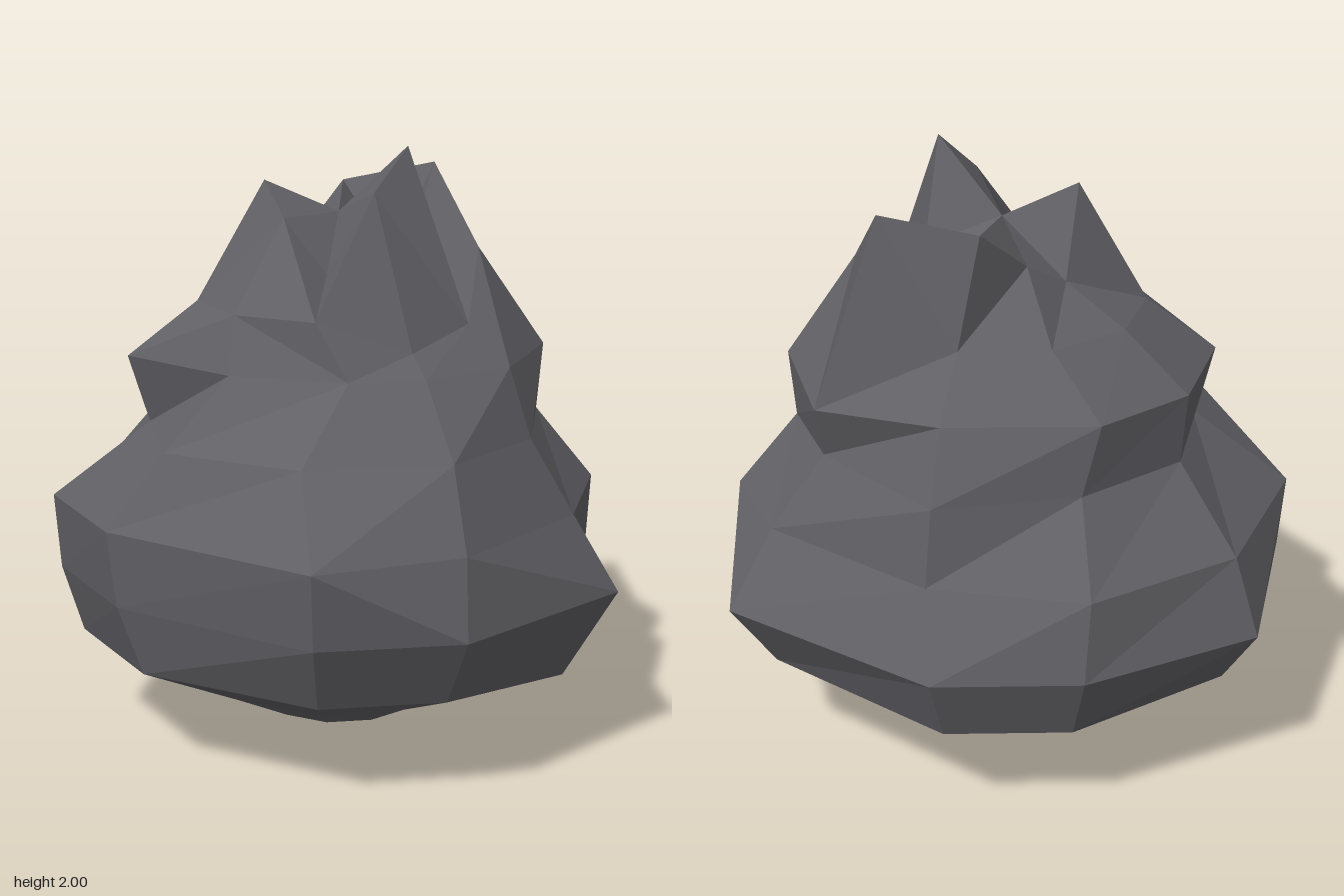
import * as THREE from 'three';

const SIDES = 10, RINGS = 10, R = 0.815;
const CENTRE = { x: 0.035, y: 0.82, z: -0.03 };

// Bulges and grooves: [x, z] around one ring, from +x round by the back
const swollen = {
  3: [[0.9, -0.03], [0.8, -0.42], [0.24, -0.89], [-0.17, -0.89], [-0.68, -0.56],
    [-0.85, -0.04], [-0.68, 0.44], [-0.17, 0.84], [0.24, 0.84], [0.72, 0.44]],
  4: [[0.92, -0.03], [0.94, -0.49], [0.28, -0.98], [-0.2, -0.98], [-0.77, -0.7],
    [-0.92, -0.05], [-0.76, 0.43], [-0.2, 0.95], [0.28, 0.95], [0.88, 0.52]],
  5: [[0.935, -0.03], [0.8, -0.39], [0.29, -0.81], [-0.22, -0.92], [-0.7, -0.63],
    [-0.94, -0.06], [-0.79, 0.42], [-0.21, 0.98], [0.29, 0.87], [0.74, 0.45]],
  6: [[0.73, -0.03], [0.62, -0.36], [0.27, -0.77], [-0.2, -0.69], [-0.53, -0.44],
    [-0.61, -0.03], [-0.6, 0.42], [-0.2, 0.71], [0.28, 0.71], [0.6, 0.41]],
  7: [[0.75, -0.03], [0.64, -0.43], [0.24, -0.66], [-0.26, -0.66], [-0.55, -0.43],
    [-0.68, -0.03], [-0.38, 0.34], [-0.02, 0.51], [0.23, 0.51], [0.54, 0.35]],
};

// Single points pulled out, keyed by 'ring,side'
const peaks = {
  '3,9': [0.72, 0.26, 0.44],
  '7,1': [0.64, 1.26, -0.43],
  '8,0': [0.515, 1.64, -0.03],
  '8,1': [0.43, 1.89, -0.37],
  '8,8': [0.2, 1.37, 0.43],
  '8,9': [0.42, 1.43, 0.26],
  '9,0': [0.287, 1.67, -0.03],
  '9,2': [0.11, 1.83, -0.4],
  '9,3': [-0.04, 1.68, -0.27],
  '9,5': [-0.215, 1.88, -0.03],
  '9,6': [-0.17, 1.77, 0.12],
  '9,8': [0.113, 1.86, 0.21],
  '9,9': [0.24, 2.0, 0.12],
};

// Facets whose crease runs the other way, as 'ring,side'
const flipped = new Set(['3,0', '4,0', '4,7', '4,8', '4,9', '5,0',
  '7,0', '7,6', '8,0', '8,4', '8,6', '8,8']);

function point(ring, side) {
  const j = side % SIDES;
  if (ring === 0) return [CENTRE.x, 0, CENTRE.z];
  if (ring === RINGS) return [CENTRE.x, 1.77, CENTRE.z];
  const peak = peaks[`${ring},${j}`];
  if (peak) return peak;
  const lat = (ring / RINGS) * Math.PI, a = (j / SIDES) * Math.PI * 2;
  const y = CENTRE.y - R * Math.cos(lat);
  if (swollen[ring]) return [swollen[ring][j][0], y, swollen[ring][j][1]];
  const r = R * Math.sin(lat);
  return [CENTRE.x + r * Math.cos(a), y, CENTRE.z - r * Math.sin(a)];
}

export function createModel() {
  const group = new THREE.Group();
  group.name = 'jaggedRock';
  const charcoal = new THREE.MeshStandardMaterial({ color: 0x606065, flatShading: true });
  charcoal.name = 'charcoal';

  // Skin the rings from the underside to the summit
  const positions = [];
  for (let k = 0; k < RINGS; k++) {
    for (let j = 0; j < SIDES; j++) {
      const a = point(k, j), b = point(k, j + 1);
      const c = point(k + 1, j + 1), d = point(k + 1, j);
      if (k === 0) positions.push(...a, ...c, ...d);
      else if (k === RINGS - 1) positions.push(...a, ...b, ...c);
      else if (flipped.has(`${k},${j}`)) positions.push(...a, ...b, ...d, ...b, ...c, ...d);
      else positions.push(...a, ...b, ...c, ...a, ...c, ...d);
    }
  }
  const geometry = new THREE.BufferGeometry();
  geometry.setAttribute('position', new THREE.Float32BufferAttribute(positions, 3));
  geometry.computeVertexNormals();

  const rock = new THREE.Mesh(geometry, charcoal);
  rock.name = 'rockBody';
  group.add(rock);
  return group;
}
